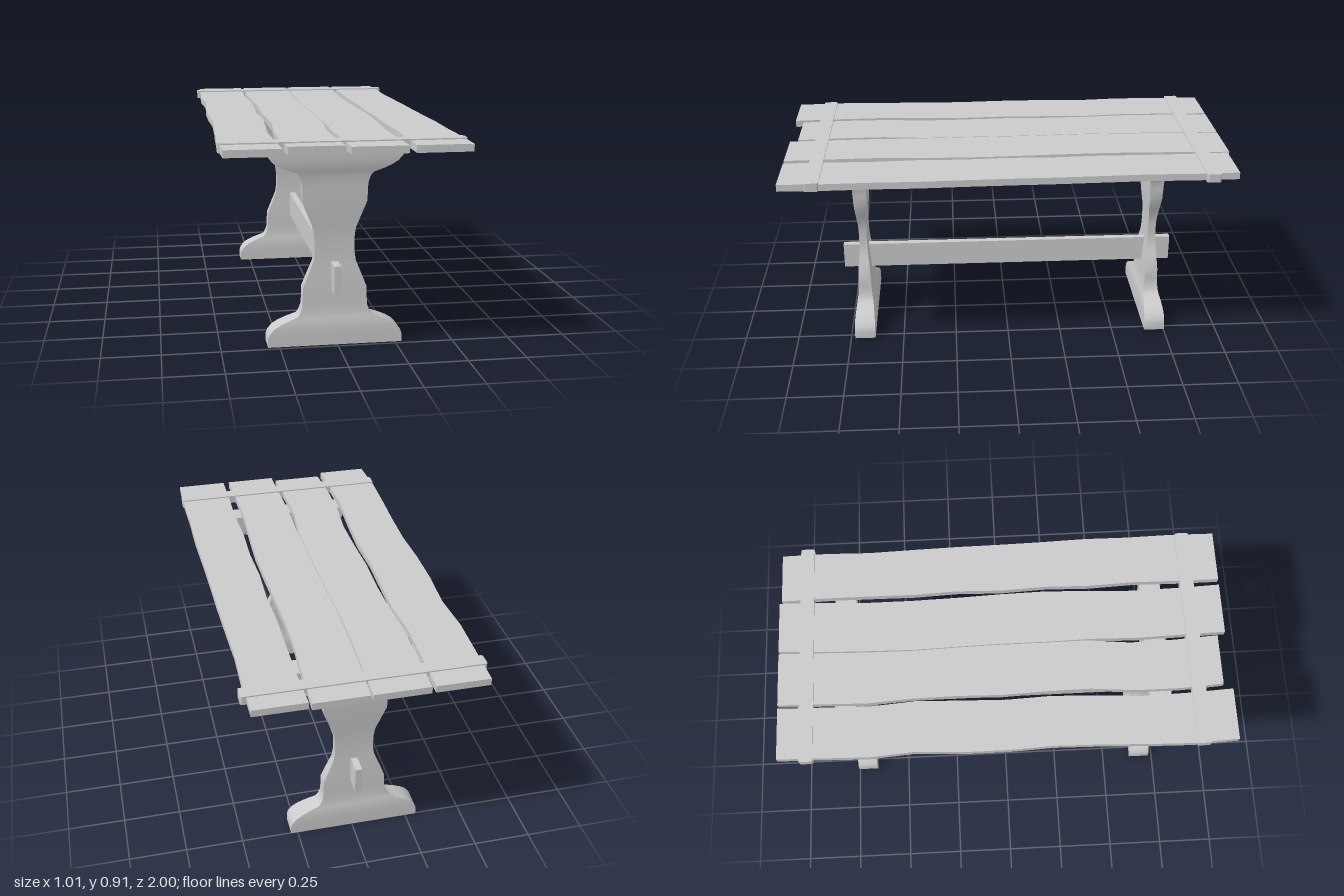
import * as THREE from 'three';
import { toCreasedNormals } from 'three/addons/utils/BufferGeometryUtils.js';

const material = new THREE.MeshStandardMaterial({ color: 0xcccccc });

function addMesh(parent, name, geometry, x = 0, y = 0, z = 0) {
  const mesh = new THREE.Mesh(geometry, material);
  mesh.name = name;
  mesh.position.set(x, y, z);
  parent.add(mesh);
  return mesh;
}

// Lower half of the trestle outline: [height, half width, half thickness]
const lower = [
  [0, 0.29, 0.048], [0.035, 0.29, 0.048], [0.055, 0.283, 0.048], [0.078, 0.263, 0.047],
  [0.095, 0.236, 0.045], [0.11, 0.203, 0.042], [0.125, 0.163, 0.038], [0.135, 0.153, 0.036],
  [0.15, 0.146, 0.034], [0.17, 0.14, 0.032], [0.2, 0.138, 0.031], [0.25, 0.137, 0.029],
  [0.31, 0.113, 0.025], [0.365, 0.091, 0.02], [0.4, 0.086, 0.0185], [0.437, 0.085, 0.018],
];
const LEG_TOP = 0.874;
const upper = lower.slice(0, -1).reverse().map(([y, w, t]) => [LEG_TOP - y, w, t]);
const legRows = [...lower, ...upper];

// Trestle: a box whose rows are moved onto the outline
function trestleGeometry() {
  const n = legRows.length - 1;
  const geo = new THREE.BoxGeometry(2, n, 2, 1, n, 1);
  const p = geo.attributes.position;
  for (let i = 0; i < p.count; i++) {
    const [y, w, t] = legRows[Math.round(p.getY(i) + n / 2)];
    p.setXYZ(i, p.getX(i) * w, y, p.getZ(i) * t);
  }
  return toCreasedNormals(geo, 0.55);
}

// Plank with wavy edges, given as x at even steps from the back end to the front
function plankGeometry({ back, front, left, right }) {
  const n = left.length - 1;
  const geo = new THREE.BoxGeometry(1, 0.031, n, 1, 1, n);
  const p = geo.attributes.position;
  for (let i = 0; i < p.count; i++) {
    const k = Math.round(p.getZ(i) + n / 2);
    p.setX(i, p.getX(i) < 0 ? left[k] : right[k]);
    p.setZ(i, back + (front - back) * k / n);
  }
  return toCreasedNormals(geo, 0.5);
}

const planks = [
  { back: -1, front: 1,
    left: [-0.49, -0.495, -0.5, -0.485, -0.497, -0.497, -0.488, -0.492, -0.5, -0.505, -0.495],
    right: [-0.26, -0.265, -0.27, -0.255, -0.262, -0.268, -0.26, -0.268, -0.28, -0.275, -0.265] },
  { back: -1, front: 0.96,
    left: [-0.245, -0.25, -0.255, -0.243, -0.24, -0.245, -0.238, -0.235, -0.252, -0.252, -0.24],
    right: [-0.005, -0.01, -0.016, -0.018, -0.012, -0.008, -0.008, -0.006, -0.026, -0.022, -0.01] },
  { back: -1, front: 0.995,
    left: [0.005, -0.005, -0.01, -0.014, -0.008, -0.004, -0.004, 0, -0.005, 0, 0.005],
    right: [0.24, 0.235, 0.225, 0.225, 0.23, 0.238, 0.242, 0.235, 0.226, 0.23, 0.237] },
  { back: -0.99, front: 0.995,
    left: [0.25, 0.256, 0.256, 0.254, 0.262, 0.256, 0.265, 0.26, 0.268, 0.265, 0.265],
    right: [0.477, 0.48, 0.475, 0.481, 0.486, 0.488, 0.492, 0.498, 0.496, 0.5, 0.497] },
];

// Cross batten: a bar with bevelled ends, wrapped round the planks
function battenGeometry() {
  const w = 0.506, d = 0.031, b = 0.006;
  const shape = new THREE.Shape([
    [-w, -d + b], [-w + b, -d], [w - b, -d], [w, -d + b],
    [w, d - b], [w - b, d], [-w + b, d], [-w, d - b],
  ].map(([x, y]) => new THREE.Vector2(x, y)));
  const geo = new THREE.ExtrudeGeometry(shape, { depth: 0.038, bevelEnabled: false });
  return geo.rotateX(-Math.PI / 2);
}

export function createModel() {
  const model = new THREE.Group();
  model.name = 'trestleTable';

  // Table top
  const top = new THREE.Group();
  top.name = 'tableTop';
  model.add(top);
  planks.forEach((plank, i) => addMesh(top, `plank${i + 1}`, plankGeometry(plank), 0, 0.888, 0));
  addMesh(top, 'frontBatten', battenGeometry(), -0.002, 0.871, 0.849);
  addMesh(top, 'backBatten', battenGeometry(), -0.002, 0.871, -0.874);

  // Trestles and the stretcher that passes through them
  addMesh(model, 'frontTrestle', trestleGeometry(), -0.01, 0, 0.683);
  addMesh(model, 'backTrestle', trestleGeometry(), -0.01, 0, -0.705);
  addMesh(model, 'stretcher', new THREE.BoxGeometry(0.03, 0.12, 1.594), -0.01, 0.302, -0.012);

  return model;
}
